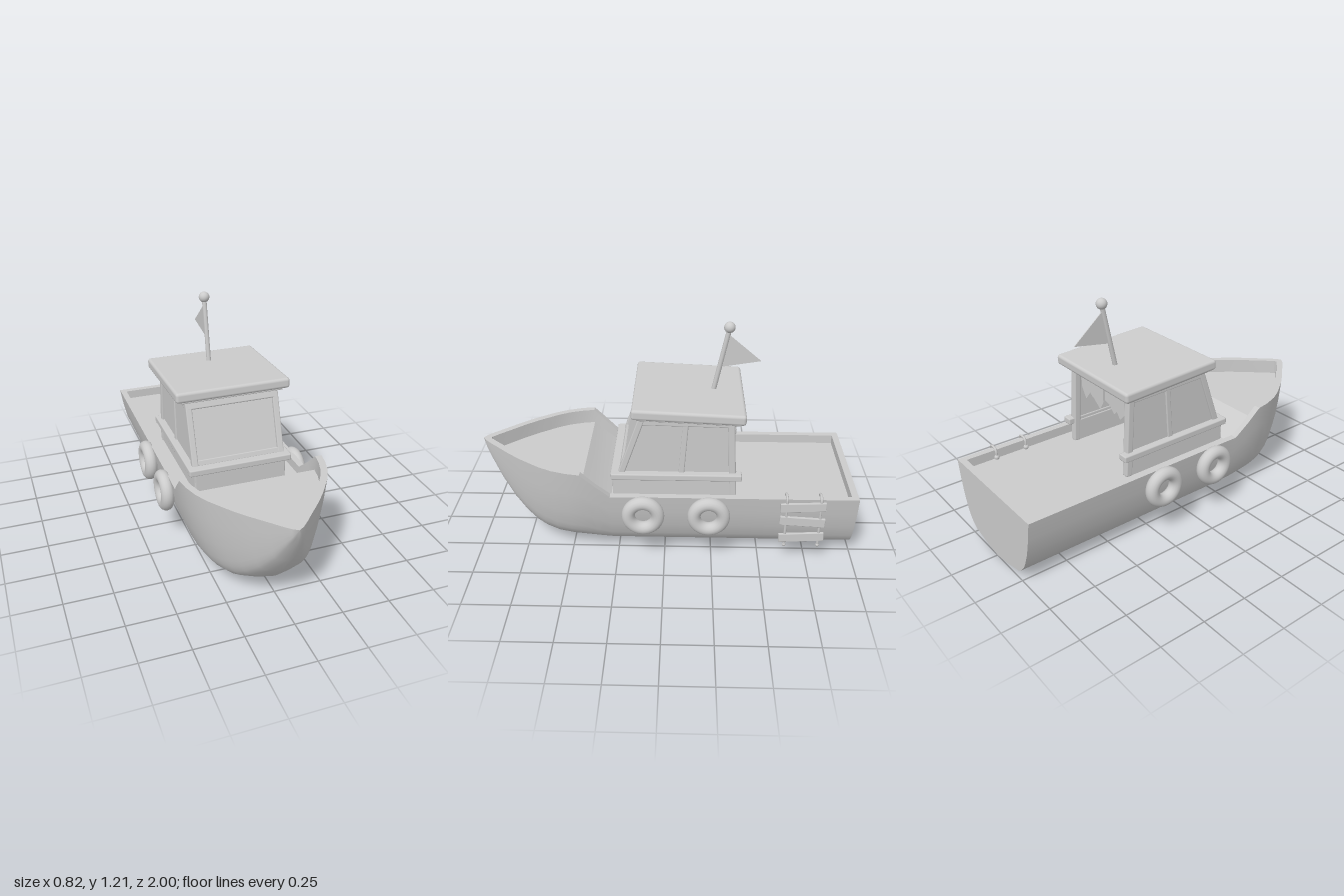
import * as THREE from 'three';
import { toCreasedNormals } from 'three/addons/utils/BufferGeometryUtils.js';
import { RoundedBoxGeometry } from 'three/addons/geometries/RoundedBoxGeometry.js';

const mat = new THREE.MeshStandardMaterial({ color: 0xcccccc });
const thin = new THREE.MeshStandardMaterial({ color: 0xcccccc, side: THREE.DoubleSide });
const V = (x, y, z) => new THREE.Vector3(x, y, z);

function add(parent, name, geo, x = 0, y = 0, z = 0, material = mat) {
  const m = new THREE.Mesh(geo, material);
  m.name = name;
  m.position.set(x, y, z);
  parent.add(m);
  return m;
}

function box(parent, name, w, h, d, x, y, z) {
  const r = Math.min(w, h, d) * 0.2;
  return add(parent, name, new RoundedBoxGeometry(w, h, d, 1, r), x, y, z);
}

// Rounded bar running between two points
function bar(parent, name, a, b, w, d) {
  const mid = a.clone().add(b).multiplyScalar(0.5);
  const m = box(parent, name, w, a.distanceTo(b), d, mid.x, mid.y, mid.z);
  m.quaternion.setFromUnitVectors(V(0, 1, 0), b.clone().sub(a).normalize());
  return m;
}

function rod(parent, name, points, r) {
  const curve = new THREE.CatmullRomCurve3(points);
  return add(parent, name, new THREE.TubeGeometry(curve, 4 * points.length, r, 8), 0, 0, 0, thin);
}

// Skin a grid of points, row after row
function loft(rows, crease = 0.6) {
  const n = rows[0].length, idx = [];
  for (let i = 0; i < rows.length - 1; i++)
    for (let j = 0; j < n - 1; j++) {
      const a = i * n + j, b = a + n;
      idx.push(a, b, a + 1, b, b + 1, a + 1);
    }
  const g = new THREE.BufferGeometry().setFromPoints(rows.flat());
  g.setIndex(idx);
  return toCreasedNormals(g, crease);
}

// Stations: z, half width, gunwale height, keel height
const STATIONS = [
  [-1, .36, .39, 0], [-.4, .36, .39, 0], [.1, .36, .39, 0], [.28, .362, .39, .002],
  [.355, .374, .46, .004], [.43, .38, .53, .007], [.5, .368, .53, .01], [.58, .342, .53, .016],
  [.65, .305, .53, .034], [.7, .27, .53, .057], [.76, .228, .53, .105], [.83, .17, .53, .185],
  [.9, .105, .53, .295], [.95, .06, .53, .4], [.98, .03, .53, .47], [1, 0, .53, .53],
];
// Half section from gunwale to keel, as fractions of width and height
const SECTION = [[1, 1], [.955, .75], [.89, .5], [.81, .31], [.765, .235], [.7, .165], [.6, .105], [.3, .04], [0, 0]];

function buildHull(parent) {
  const hull = new THREE.Group();
  hull.name = 'hull';
  parent.add(hull);
  const full = [...SECTION, ...SECTION.slice(0, -1).reverse().map(([x, y]) => [-x, y])];
  const rows = STATIONS.map(([z, w, top, keel]) =>
    full.map(([fx, fy]) => V(fx * w, keel + (top - keel) * fy, z)));
  add(hull, 'hullShell', loft(rows, 0.9), 0, 0, 0, thin);

  // Flat transom
  const shape = new THREE.Shape(rows[0].map(p => new THREE.Vector2(p.x, p.y)));
  add(hull, 'transom', new THREE.ShapeGeometry(shape).rotateY(Math.PI), 0, 0, -1, thin);

  // Inner line of the bulwark, offset from the gunwale in plan
  const t = 0.035, last = STATIONS.length - 1;
  const inner = STATIONS.map(([z, w, top], i) => {
    if (i === 0) return V(w - t, top, z + t);
    if (i === last) return V(0, top, z - t * 1.3);
    const p = STATIONS[i - 1], q = STATIONS[i + 1];
    const dz = q[0] - p[0], dx = q[1] - p[1], l = Math.hypot(dx, dz);
    return V(Math.max(0, w - t * dz / l), top, z + t * dx / l);
  });
  const deckY = z => 0.34 + 0.11 * THREE.MathUtils.clamp((z - 0.29) / 0.14, 0, 1);
  const low = inner.map((p, i) => V(p.x, deckY(STATIONS[i][0]), p.z));
  const outer = STATIONS.map(([z, w, top]) => V(w, top, z));
  const flip = p => V(-p.x, p.y, p.z);
  const loop = pts => [...pts, ...pts.slice(0, -1).reverse().map(flip), pts[0]];
  add(hull, 'gunwale', loft([loop(outer), loop(inner)]), 0, 0, 0, thin);
  add(hull, 'bulwarkInside', loft([loop(inner), loop(low)]), 0, 0, 0, thin);
  add(hull, 'deck', loft(low.map(p => [flip(p), p]), 0.2), 0, 0, 0, thin);
}

function buildCabin(parent) {
  const cabin = new THREE.Group();
  cabin.name = 'cabin';
  parent.add(cabin);
  // Lower front wall and trim
  box(cabin, 'frontLowerWall', .5, .13, .03, 0, .395, .26);
  box(cabin, 'frontTrim', .56, .036, .05, 0, .46, .258);
  for (const s of [1, -1]) {
    const x = s * 0.238;
    box(cabin, 'sideLowerWall', .03, .13, .64, x, .395, -.05);
    box(cabin, 'sideTrim', .055, .036, .68, s * .255, .46, -.06);
    // Window posts and top rail
    bar(cabin, 'frontPost', V(x, .45, .235), V(x, .8, .113), .034, .034);
    bar(cabin, 'middlePost', V(x, .46, -.085), V(x, .79, -.108), .028, .03);
    bar(cabin, 'backPost', V(x, .34, -.358), V(x, .79, -.335), .04, .036);
    bar(cabin, 'sideTopRail', V(x, .768, .13), V(x, .758, -.34), .03, .034);
    // Side pane
    const pane = new THREE.Shape([[-.23, .47], [.355, .47], [.335, .78], [-.12, .78]].map(p => new THREE.Vector2(...p)));
    const g = new THREE.ExtrudeGeometry(pane, { depth: .012, bevelEnabled: false });
    add(cabin, 'sidePane', g.translate(0, 0, -.006).rotateY(Math.PI / 2), x, 0, 0);
  }
  // Windscreen with its frame rails
  bar(cabin, 'windscreen', V(0, .46, .227), V(0, .79, .112), .46, .012);
  bar(cabin, 'windscreenTopRail', V(0, .75, .131), V(0, .8, .113), .5, .034);
  bar(cabin, 'windscreenSill', V(0, .47, .228), V(0, .5, .2175), .48, .028);

  // Roof slab, slightly higher at the bow
  const roof = add(cabin, 'roof', new RoundedBoxGeometry(.62, .056, .575, 2, .016), 0, .822, -.12);
  roof.rotation.x = -0.045;
  const lining = box(cabin, 'roofLining', .56, .025, .52, 0, .79, -.12);
  lining.rotation.x = -0.045;

  // Ragged curtain strips hanging in the open back
  const drops = [[.62, .65, .61], [.64, .61, .65], [.65, .6, .63], [.63, .65, .6]];
  drops.forEach(([a, b, c], i) => {
    const x0 = -.215 + i * .1075, x1 = x0 + .1075;
    const pts = [[x0, .79], [x0, a], [x0 + .03, b], [x0 + .07, c], [x1, .66], [x1, .79]];
    const strip = new THREE.Shape(pts.map(p => new THREE.Vector2(...p)));
    add(cabin, 'curtainStrip', new THREE.ShapeGeometry(strip), 0, 0, -.33 + (i % 2) * .012, thin);
  });
}

function buildMast(parent) {
  const mast = new THREE.Group();
  mast.name = 'mast';
  parent.add(mast);
  rod(mast, 'pole', [V(0, .83, -.248), V(0, 1, -.284), V(0, 1.18, -.322)], .013);
  add(mast, 'ball', new THREE.SphereGeometry(.029, 20, 14), 0, 1.185, -.322);
  const flag = new THREE.Shape([[.315, 1.15], [.278, .967], [.49, 1.002]].map(p => new THREE.Vector2(...p)));
  const g = new THREE.ExtrudeGeometry(flag, { depth: .005, bevelEnabled: false });
  add(mast, 'pennant', g.rotateY(Math.PI / 2), -.0025, 0, 0);
}

function buildLadder(parent) {
  const ladder = new THREE.Group();
  ladder.name = 'ladder';
  parent.add(ladder);
  for (const z of [-.63, -.805]) {
    // Rope over the gunwale with a knot inside
    rod(ladder, 'rope', [V(.31, .355, z), V(.312, .395, z), V(.335, .405, z), V(.365, .4, z), V(.37, .35, z), V(.368, .11, z)], .007);
    add(ladder, 'knot', new THREE.SphereGeometry(.014, 12, 8), .309, .355, z);
    add(ladder, 'ropeEnd', new THREE.SphereGeometry(.01, 10, 8), .368, .115, z);
  }
  [[.35, .04], [.262, -.06], [.165, .05]].forEach(([y, tilt]) => {
    const slat = box(ladder, 'slat', .016, .05, .235, .37, y, -.715);
    slat.rotation.x = tilt;
  });
}

export function createModel() {
  const boat = new THREE.Group();
  boat.name = 'boat';
  buildHull(boat);
  buildCabin(boat);
  buildMast(boat);
  buildLadder(boat);
  // Tyre fenders on both sides
  for (const s of [1, -1])
    for (const z of [.11, -.23])
      add(boat, 'tyre', new THREE.TorusGeometry(.076, .035, 16, 36).rotateY(Math.PI / 2), s * .377, .29, z);
  return boat;
}
